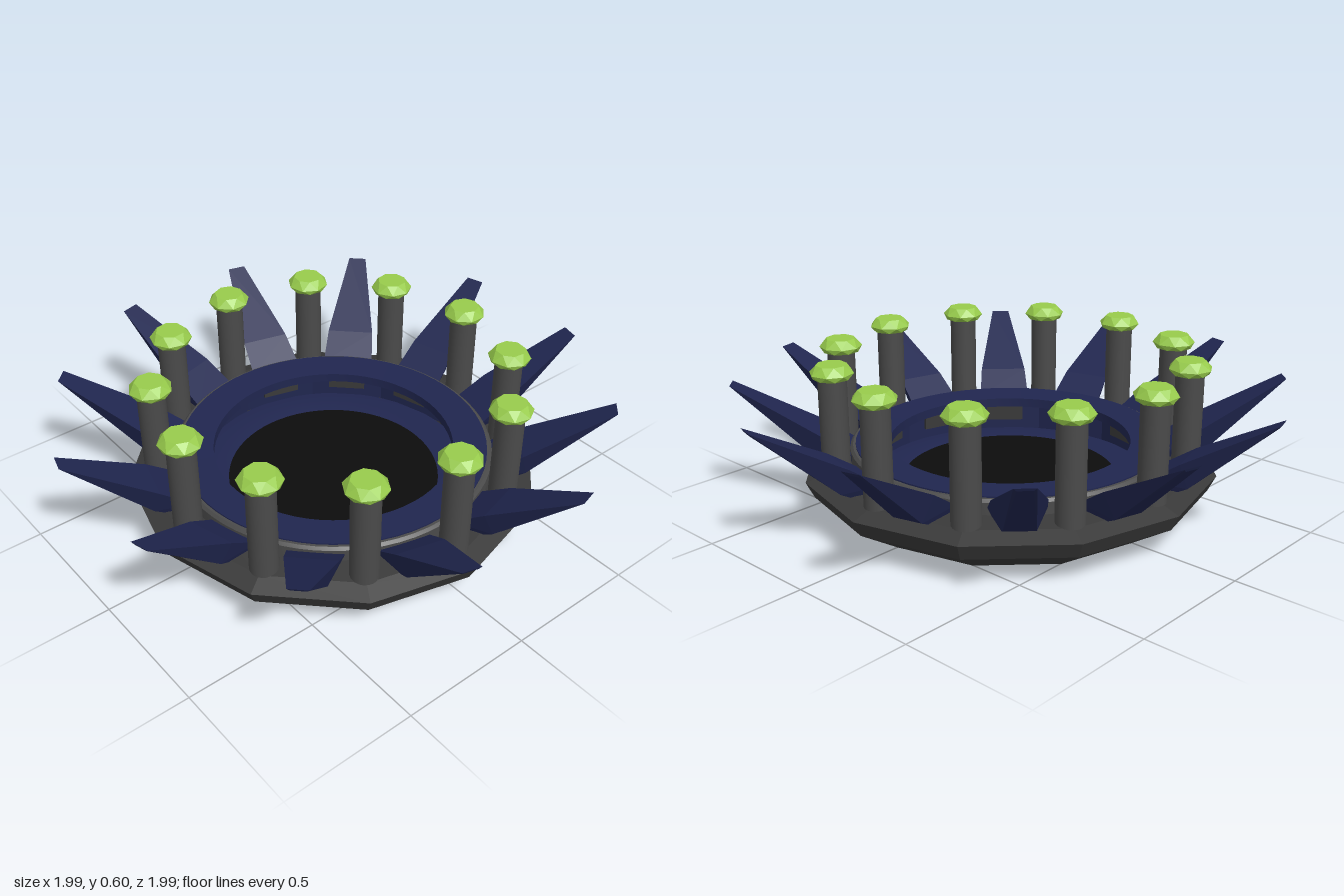
import * as THREE from 'three';
import { toCreasedNormals } from 'three/addons/utils/BufferGeometryUtils.js';
import { ConvexGeometry } from 'three/addons/geometries/ConvexGeometry.js';

const COUNT = 12;
const mat = (color, flatShading = false) =>
  new THREE.MeshStandardMaterial({ color, flatShading, side: THREE.DoubleSide });

export function createModel() {
  const model = new THREE.Group();
  const stone = mat(0x393939, true);
  const metal = mat(0x4a4a4a);
  const blue = mat(0x20264f);
  const blueFlat = mat(0x20264f, true);
  const green = mat(0x98cc4c, true);
  const black = mat(0x0c0c0c);

  const add = (name, geometry, material, parent = model) => {
    const mesh = new THREE.Mesh(geometry, material);
    mesh.name = name;
    parent.add(mesh);
    return mesh;
  };
  const lathe = (points, sides) => {
    const g = new THREE.LatheGeometry(points.map(([r, y]) => new THREE.Vector2(r, y)), sides);
    return toCreasedNormals(g, 0.5);
  };
  // Repeats a part around the vertical axis
  const around = (name, offset, build) => {
    for (let i = 0; i < COUNT; i++) {
      const arm = new THREE.Group();
      arm.name = name;
      arm.rotation.y = ((i + offset) * 2 * Math.PI) / COUNT;
      build(arm);
      model.add(arm);
    }
  };

  // Twelve-sided hollow base
  add('base', lathe([[0.575, 0.2], [0.56, 0], [0.58, 0], [0.74, 0.1], [0.77, 0.16],
    [0.7, 0.185], [0.575, 0.2]], COUNT), stone);

  // Round collar and flat rim above the base
  add('collar', lathe([[0.595, 0.17], [0.595, 0.24], [0.585, 0.25], [0.57, 0.25]], 64), metal);
  add('rim', lathe([[0.45, 0.215], [0.575, 0.215], [0.575, 0.255], [0.45, 0.25], [0.45, 0.215]], 64), blue);

  // Inner wall, dish and dark centre
  add('innerWall', lathe([[0.56, 0.22], [0.56, 0.08]], COUNT), blueFlat);
  add('dish', lathe([[0.36, 0.075], [0.545, 0.075], [0.545, 0.09], [0.4, 0.105], [0.36, 0.09], [0.36, 0.075]], 64), blue);
  add('centreDisc', new THREE.CylinderGeometry(0.4, 0.36, 0.026, 64), black).position.y = 0.093;

  // Tapered spikes: wide upper face, narrow underside, chisel tip
  const spikePoints = [];
  for (const [r, y, halfWidth] of [
    [1.02, 0.475, 0.035], [0.7, 0.3, 0.092], [0.58, 0.22, 0.1],
    [1.015, 0.465, 0.025], [0.72, 0.2, 0.055], [0.58, 0.13, 0.06],
  ]) {
    for (const s of [-1, 1]) spikePoints.push(new THREE.Vector3(s * halfWidth, y, r));
  }
  const spikeGeometry = new ConvexGeometry(spikePoints);
  const panelGeometry = new THREE.BoxGeometry(0.148, 0.07, 0.02);
  around('spikeArm', 0.5, (arm) => {
    add('spike', spikeGeometry, blueFlat, arm);
    add('innerPanel', panelGeometry, stone, arm).position.set(0, 0.165, 0.538);
  });

  // Faceted cap made from staggered eight-sided rings
  const capPoints = [];
  for (const [radius, y, turn] of [[0.068, 0.545, 0], [0.08, 0.565, 0.5], [0.055, 0.595, 0]]) {
    for (let i = 0; i < 8; i++) {
      const a = ((i + turn) * Math.PI) / 4;
      capPoints.push(new THREE.Vector3(radius * Math.sin(a), y, radius * Math.cos(a)));
    }
  }
  const capGeometry = new ConvexGeometry(capPoints);
  const pillarGeometry = new THREE.CylinderGeometry(0.052, 0.052, 0.38, 24);
  around('pillarArm', 0, (arm) => {
    add('pillar', pillarGeometry, metal, arm).position.set(0, 0.365, 0.655);
    add('cap', capGeometry, green, arm).position.z = 0.655;
  });

  return model;
}
